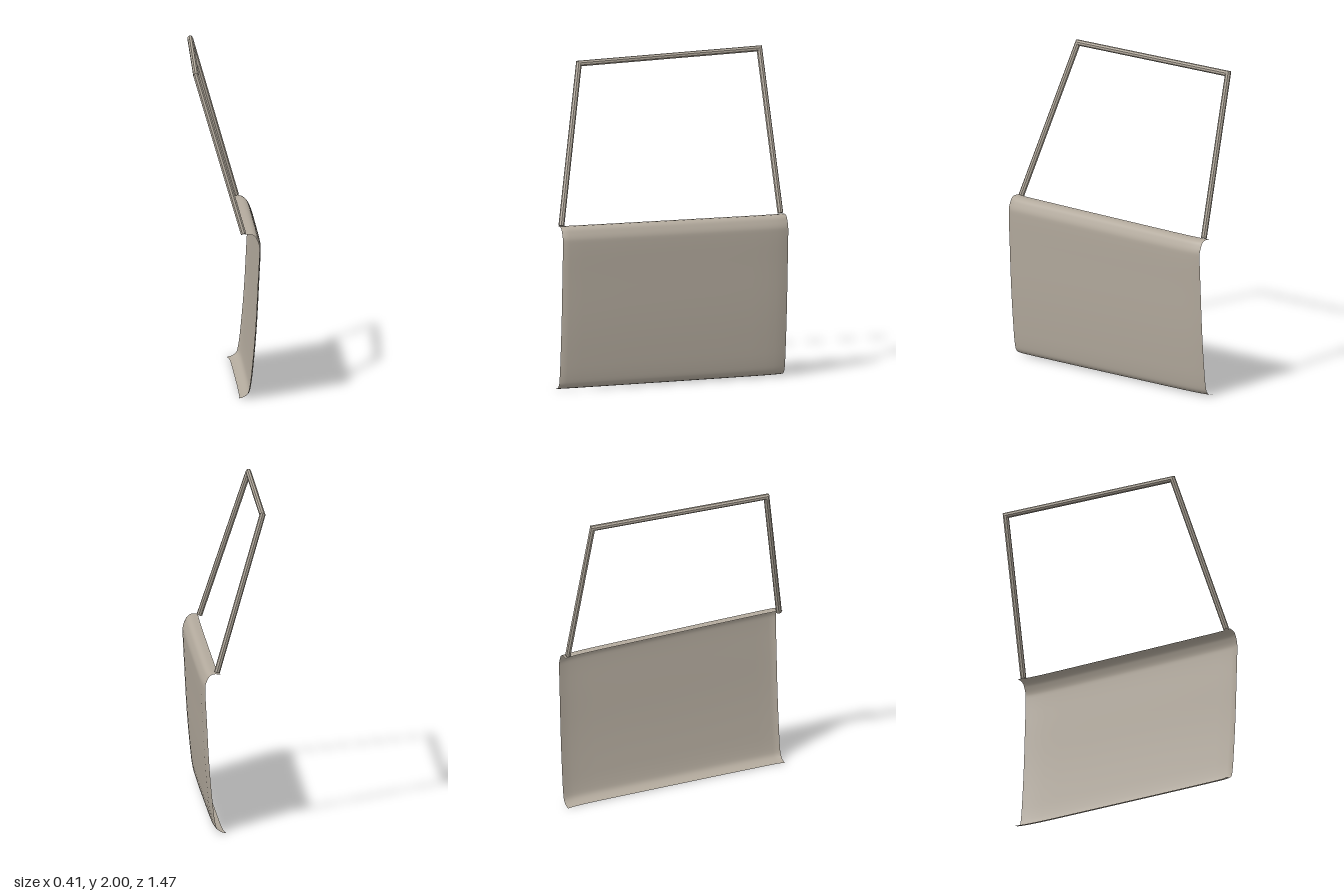
import * as THREE from 'three';

const paint = new THREE.MeshStandardMaterial({ color: 0xb3aa9d, side: THREE.DoubleSide });
paint.name = 'warm grey paint';

// Curved door skin: one side profile swept from front to back
function doorSkin() {
  const profile = new THREE.CatmullRomCurve3([
    [0.07, 0.0], [0.105, 0.01], [0.128, 0.03], [0.14, 0.07], [0.16, 0.24], [0.177, 0.45],
    [0.19, 0.7], [0.2, 0.92], [0.198, 0.95], [0.187, 0.98], [0.172, 1.005], [0.15, 1.016], [0.105, 1.015],
  ].map(([x, y]) => new THREE.Vector3(x, y, 0)), false, 'centripetal');
  // Stations along z with the inward bend of the skin
  const stations = [
    [0.735, -0.009], [0.715, -0.002], [0.69, 0.001], [0.6, 0.002], [0.3, 0], [0, -0.004],
    [-0.3, -0.008], [-0.5, -0.011], [-0.6, -0.014], [-0.66, -0.018], [-0.7, -0.023], [-0.735, -0.031],
  ];
  const cols = 48;
  const pos = [];
  const index = [];
  stations.forEach(([z, bend], r) => {
    for (let c = 0; c <= cols; c++) {
      const p = profile.getPoint(c / cols);
      // The waistline drops slightly toward the back
      const drop = 0.015 * ((0.735 - z) / 1.47) * THREE.MathUtils.smoothstep(p.y, 0.5, 1);
      pos.push(p.x + bend, Math.max(0, p.y - drop), z);
      if (r < stations.length - 1 && c < cols) {
        const a = r * (cols + 1) + c;
        const b = a + cols + 1;
        index.push(a, b, b + 1, a, b + 1, a + 1);
      }
    }
  });
  const g = new THREE.BufferGeometry();
  g.setAttribute('position', new THREE.Float32BufferAttribute(pos, 3));
  g.setIndex(index);
  g.computeVertexNormals();
  return g;
}

// Straight eight-sided bar whose ends are cut along the given planes
function bar(a, b, cutA, cutB, radius) {
  const dir = b.clone().sub(a).normalize();
  const g = new THREE.CylinderGeometry(radius, radius, a.distanceTo(b), 8, 1).toNonIndexed();
  g.rotateY(Math.PI / 8);
  g.applyQuaternion(new THREE.Quaternion().setFromUnitVectors(new THREE.Vector3(0, 1, 0), dir));
  const mid = a.clone().add(b).multiplyScalar(0.5);
  g.translate(mid.x, mid.y, mid.z);
  const p = g.attributes.position;
  const v = new THREE.Vector3();
  for (let i = 0; i < p.count; i++) {
    v.fromBufferAttribute(p, i);
    const atEnd = v.clone().sub(mid).dot(dir) > 0;
    const [origin, n] = atEnd ? [b, cutB] : [a, cutA];
    v.addScaledVector(dir, origin.clone().sub(v).dot(n) / dir.dot(n));
    p.setXYZ(i, v.x, v.y, v.z);
  }
  g.computeVertexNormals();
  return g;
}

export function createModel() {
  const model = new THREE.Group();
  model.name = 'door';
  const add = (name, geometry) => {
    const mesh = new THREE.Mesh(geometry, paint);
    mesh.name = name;
    model.add(mesh);
  };
  add('doorSkin', doorSkin());

  // Window frame: three bars with mitred corners
  const pts = [
    [0.096, 1.015, 0.711], [-0.187, 1.96, 0.495], [-0.185, 1.983, -0.675], [0.096, 1.008, -0.71],
  ].map((p) => new THREE.Vector3(...p));
  const dirs = [0, 1, 2].map((i) => pts[i + 1].clone().sub(pts[i]).normalize());
  const cuts = [
    dirs[0],
    dirs[0].clone().add(dirs[1]).normalize(),
    dirs[1].clone().add(dirs[2]).normalize(),
    dirs[2],
  ];
  ['frontPillar', 'topRail', 'rearPillar'].forEach((name, i) => {
    add(name, bar(pts[i], pts[i + 1], cuts[i], cuts[i + 1], 0.018));
  });
  return model;
}
